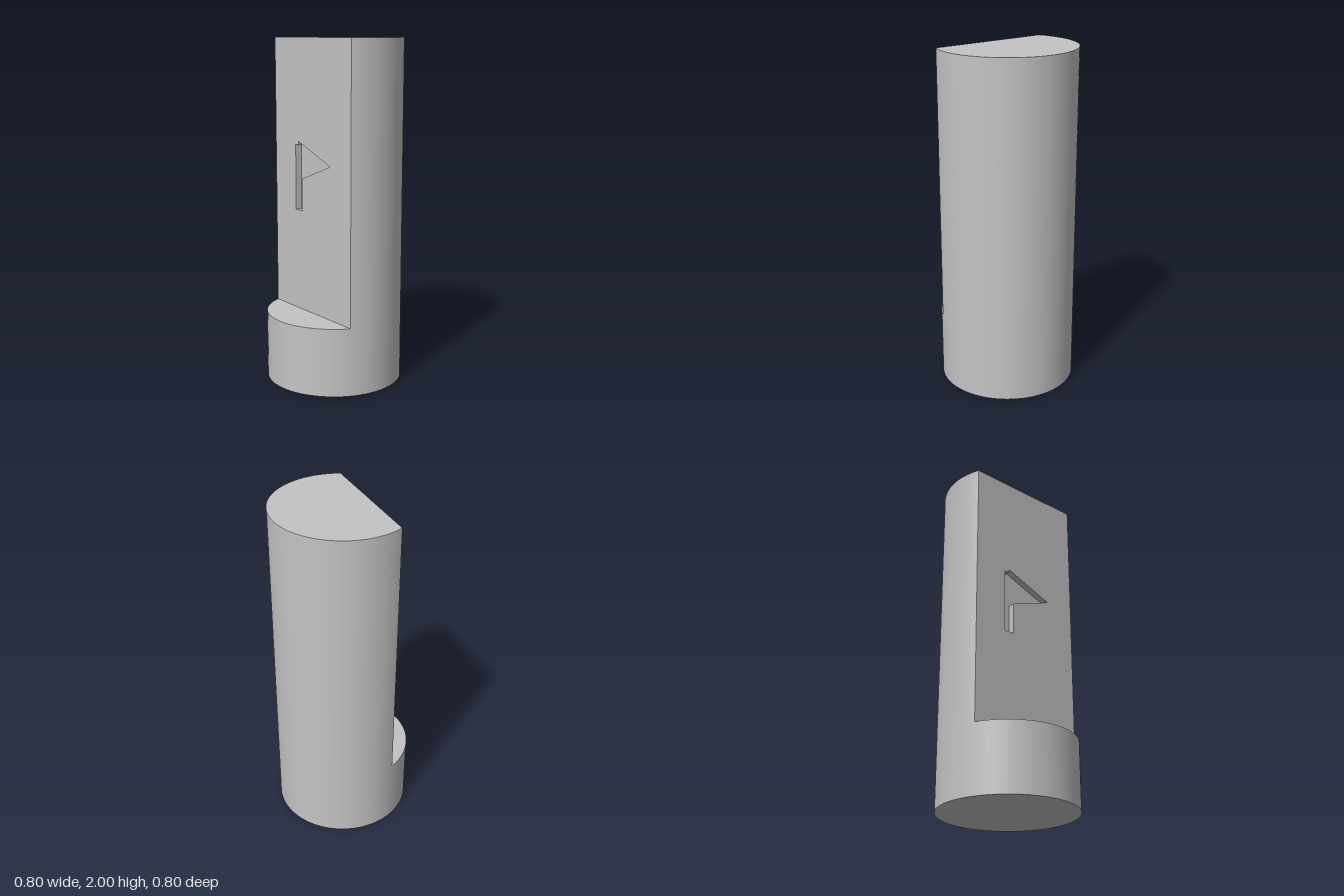
import * as THREE from 'three';
import { mergeGeometries, mergeVertices } from 'three/addons/utils/BufferGeometryUtils.js';

const R = 0.4, H = 2, STEP = 0.4, FLAT_Z = 0.16, DEPTH = 0.04;
const A = Math.acos(FLAT_Z / R);           // half angle of the cut-away arc
const W = R * Math.sin(A);                 // half width of the flat face
const FRONT = [-A, A, 28], BACK = [A, 2 * Math.PI - A, 52];

// Outline of the pennant recess, counter-clockwise
const PENNANT = [
  [-0.16, 1], [-0.095, 1], [-0.095, 1.19], [0.175, 1.29],
  [-0.13, 1.405], [-0.13, 1.385], [-0.16, 1.385],
].map(([x, y]) => new THREE.Vector2(x, y));

// Curved wall over one arc
function wall([from, to, segs], y0, y1) {
  return new THREE.CylinderGeometry(R, R, y1 - y0, segs, 1, true, from, to - from)
    .translate(0, (y0 + y1) / 2, 0);
}

// Horizontal face bounded by one or more arcs
function cap(arcs, y, up) {
  const pts = [];
  for (const [from, to, segs] of arcs) {
    const count = arcs.length > 1 ? segs - 1 : segs;
    for (let i = 0; i <= count; i++) {
      const t = from + (to - from) * i / segs;
      pts.push(new THREE.Vector2(R * Math.sin(t), (up ? -1 : 1) * R * Math.cos(t)));
    }
  }
  return new THREE.ShapeGeometry(new THREE.Shape(pts))
    .rotateX(up ? -Math.PI / 2 : Math.PI / 2).translate(0, y, 0);
}

// Flat front with the pennant opening
function flatFace() {
  const shape = new THREE.Shape([
    new THREE.Vector2(-W, STEP), new THREE.Vector2(W, STEP),
    new THREE.Vector2(W, H), new THREE.Vector2(-W, H),
  ]);
  shape.holes.push(new THREE.Path(PENNANT));
  return new THREE.ShapeGeometry(shape).translate(0, 0, FLAT_Z);
}

// Inward-facing side walls and the floor of the recess
function recess() {
  const floorZ = FLAT_Z - DEPTH, pos = [];
  PENNANT.forEach((p, i) => {
    const q = PENNANT[(i + 1) % PENNANT.length];
    pos.push(p.x, p.y, FLAT_Z, q.x, q.y, FLAT_Z, q.x, q.y, floorZ);
    pos.push(p.x, p.y, FLAT_Z, q.x, q.y, floorZ, p.x, p.y, floorZ);
  });
  const sides = new THREE.BufferGeometry();
  sides.setAttribute('position', new THREE.Float32BufferAttribute(pos, 3));
  sides.computeVertexNormals();
  const floor = new THREE.ShapeGeometry(new THREE.Shape(PENNANT))
    .translate(0, 0, floorZ).toNonIndexed();
  floor.deleteAttribute('uv');
  return mergeGeometries([sides, floor]);
}

export function createModel() {
  const group = new THREE.Group();
  group.name = 'notchedCylinder';
  const grey = new THREE.MeshStandardMaterial({ color: 0xc4c4c4 });
  grey.name = 'grey';

  const faces = [
    wall(FRONT, 0, STEP), wall(BACK, 0, STEP), wall(BACK, STEP, H),
    cap([FRONT, BACK], 0, false),   // underside
    cap([FRONT], STEP, true),       // step ledge
    cap([BACK], H, true),           // top
    flatFace(),
  ];
  faces.forEach((g) => g.deleteAttribute('uv'));
  const body = new THREE.Mesh(mergeVertices(mergeGeometries(faces)), grey);
  body.name = 'body';

  const pennant = new THREE.Mesh(recess(), grey);
  pennant.name = 'pennantRecess';

  group.add(body, pennant);
  return group;
}
